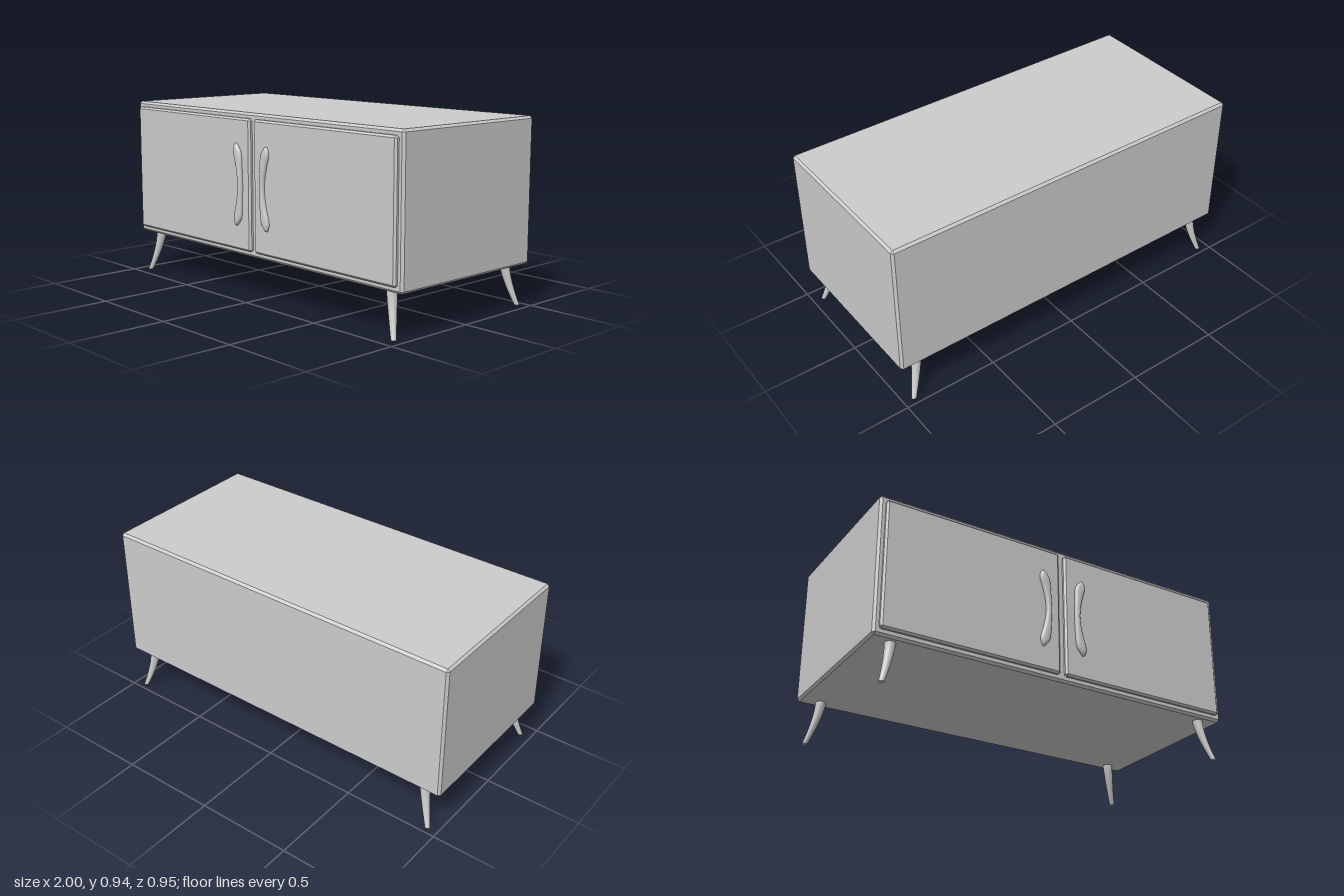
import * as THREE from 'three';
import { ConvexGeometry } from 'three/addons/geometries/ConvexGeometry.js';

const material = new THREE.MeshStandardMaterial({ color: 0xcccccc });

function addMesh(parent, name, geometry) {
  const mesh = new THREE.Mesh(geometry, material);
  mesh.name = name;
  parent.add(mesh);
  return mesh;
}

// Box between two corners with every edge cut at 45 degrees
function chamferBox(min, max, c) {
  const points = [];
  for (let i = 0; i < 8; i++) {
    const hi = [i & 1, i & 2, i & 4];
    for (let full = 0; full < 3; full++) {
      const p = hi.map((h, a) => {
        const inset = a === full ? 0 : c;
        return h ? max[a] - inset : min[a] + inset;
      });
      points.push(new THREE.Vector3(...p));
    }
  }
  return new ConvexGeometry(points);
}

// Smooth skin over rings: point(u, v) with u around the section, v along the part
function loft(point, around, along) {
  const positions = [], index = [];
  for (let j = 0; j <= along; j++) {
    for (let i = 0; i < around; i++) positions.push(...point(i / around, j / along));
  }
  for (let j = 0; j < along; j++) {
    for (let i = 0; i < around; i++) {
      const a = j * around + i, b = j * around + (i + 1) % around;
      index.push(a, b, b + around, a, b + around, a + around);
    }
  }
  const g = new THREE.BufferGeometry();
  g.setAttribute('position', new THREE.Float32BufferAttribute(positions, 3));
  g.setIndex(index);
  g.computeVertexNormals();
  return g;
}

// Splayed leg: tapers and curves outward towards the foot
function legGeometry(sx, sz) {
  const height = 0.225;
  return loft((u, v) => {
    const s = 1 - v;
    const bend = Math.pow(s, 1.5);
    const r = THREE.MathUtils.lerp(0.027, 0.013, s);
    const a = -u * Math.PI * 2;
    return [
      sx * (0.888 + 0.053 * bend) + r * Math.cos(a),
      v * height,
      -0.018 + sz * (0.4 + 0.043 * bend) + r * Math.sin(a),
    ];
  }, 20, 12);
}

// Bowed handle: slim in the middle, swelling to a pointed tip at each end
function handleGeometry(side) {
  const half = new THREE.CatmullRomCurve3([
    // x = half width, y = distance from the middle
    [0.015, 0], [0.0165, 0.05], [0.022, 0.11], [0.0275, 0.155],
    [0.025, 0.175], [0.015, 0.195], [0.006, 0.207], [0.0005, 0.21],
  ].map(([w, d]) => new THREE.Vector3(w, d, 0)));
  return loft((u, v) => {
    const t = v * 2 - 1;
    const p = half.getPoint(Math.abs(t));
    const d = p.y / 0.21;
    const centre = 0.084 + 0.033 * Math.pow(d, 1.7);
    const depth = 0.019 * Math.sqrt(Math.max(0, 1 - Math.pow(d, 14)));
    const a = -u * Math.PI * 2;
    const c = Math.cos(a), s = Math.sin(a);
    return [
      side * centre + p.x * Math.sign(c) * Math.pow(Math.abs(c), 0.8),
      0.58 + Math.sign(t) * p.y,
      0.456 + depth * Math.sign(s) * Math.pow(Math.abs(s), 0.8),
    ];
  }, 24, 48);
}

export function createModel() {
  const group = new THREE.Group();
  group.name = 'cabinet';

  // Main body
  addMesh(group, 'body', chamferBox([-1, 0.217, -0.47], [1, 0.943, 0.437], 0.012));

  for (const side of [-1, 1]) {
    const label = side > 0 ? 'left' : 'right';

    // Door panel and its handle
    const x0 = side > 0 ? 0.015 : -0.972;
    const x1 = side > 0 ? 0.972 : -0.015;
    addMesh(group, label + 'Door', chamferBox([x0, 0.247, 0.425], [x1, 0.915, 0.457], 0.01));
    addMesh(group, label + 'Handle', handleGeometry(side));

    // Front and back legs, each closed with a flat foot
    for (const end of [-1, 1]) {
      const leg = new THREE.Group();
      leg.name = label + (end > 0 ? 'FrontLeg' : 'BackLeg');
      addMesh(leg, 'shaft', legGeometry(side, end));
      const foot = addMesh(leg, 'foot', new THREE.CircleGeometry(0.013, 20));
      foot.rotation.x = Math.PI / 2;
      foot.position.set(side * 0.941, 0, -0.018 + end * 0.443);
      group.add(leg);
    }
  }
  return group;
}
